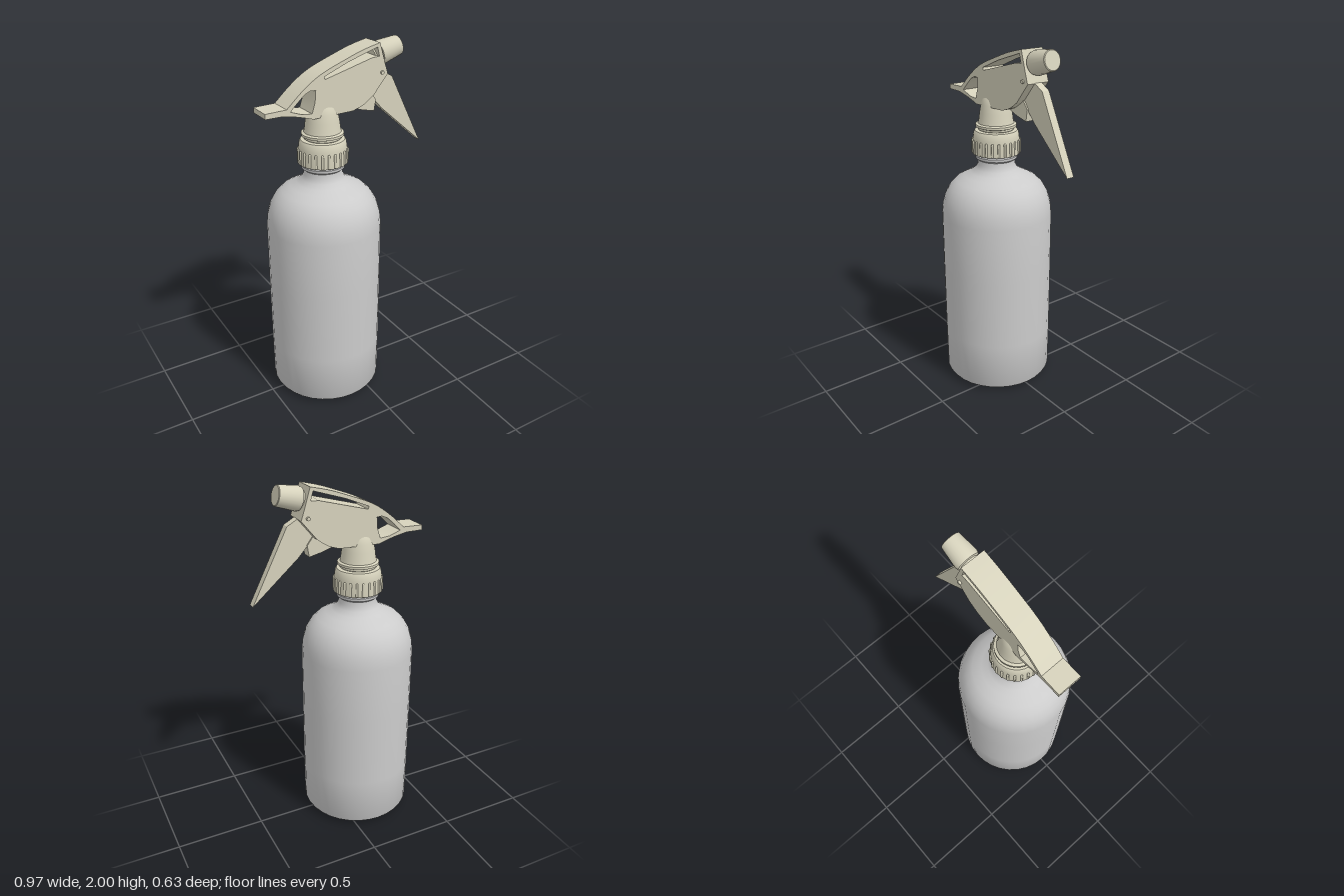
import * as THREE from 'three';
import { toCreasedNormals } from 'three/addons/utils/BufferGeometryUtils.js';

const AXIS = -0.135; // x of the bottle's centre line
const grey = new THREE.MeshStandardMaterial({ color: 0xcccccc });
const cream = new THREE.MeshStandardMaterial({ color: 0xd6d2bc });
const vecs = (pts) => pts.map(([x, y]) => new THREE.Vector2(x, y));

function add(parent, name, geometry, material = cream) {
  const mesh = new THREE.Mesh(geometry, material);
  mesh.name = name;
  parent.add(mesh);
  return mesh;
}

// Turned part around the bottle's centre line, with crisp edges kept
function turned(parent, name, pts, material, segments = 32) {
  const geo = toCreasedNormals(new THREE.LatheGeometry(vecs(pts), segments), 0.6);
  const mesh = add(parent, name, geo, material);
  mesh.position.x = AXIS;
  return mesh;
}

// Side-on outline extruded evenly about z = 0
function plate(parent, name, shape, width) {
  const geo = new THREE.ExtrudeGeometry(shape, { depth: width, bevelEnabled: false, curveSegments: 4 });
  geo.translate(0, 0, -width / 2);
  return add(parent, name, toCreasedNormals(geo, 0.5));
}

export function createModel() {
  const model = new THREE.Group();
  model.name = 'sprayBottle';

  // Bottle: rounded shoulder, narrow neck and flange
  turned(model, 'bottle', [
    [0, 0.012], [0.12, 0.006], [0.16, 0], [0.25, 0.01], [0.305, 0.022], [0.313, 0.035],
    [0.315, 0.3], [0.315, 0.7], [0.314, 1.03], [0.308, 1.09], [0.292, 1.145], [0.265, 1.193],
    [0.228, 1.23], [0.18, 1.256], [0.145, 1.274], [0.118, 1.295], [0.105, 1.32], [0.103, 1.345],
    [0.116, 1.355], [0.118, 1.37], [0.105, 1.38], [0.1, 1.42],
  ], grey);

  // Screw cap with grip ribs
  turned(model, 'cap', [
    [0.095, 1.385], [0.133, 1.383], [0.133, 1.4], [0.129, 1.47], [0.125, 1.5], [0.118, 1.512], [0.09, 1.515],
  ], cream);
  const ribs = new THREE.Group();
  ribs.name = 'capRibs';
  ribs.position.set(AXIS, 1.423, 0);
  model.add(ribs);
  const ribGeo = new THREE.CapsuleGeometry(0.007, 0.066, 3, 6);
  for (let i = 0; i < 24; i++) {
    const a = (i / 24) * Math.PI * 2;
    add(ribs, 'capRib', ribGeo).position.set(Math.cos(a) * 0.131, 0, Math.sin(a) * 0.131);
  }

  // Collar and tapering stem that merges into the head
  turned(model, 'stem', [
    [0.09, 1.51], [0.1, 1.518], [0.1, 1.528], [0.113, 1.533], [0.113, 1.546], [0.099, 1.552],
    [0.095, 1.57], [0.09, 1.61], [0.081, 1.655], [0.073, 1.685], [0.06, 1.705], [0, 1.712],
  ], cream);

  // Sprayer head: arched top, tail lip and two openings
  const head = new THREE.Shape();
  head.moveTo(-0.487, 1.687);
  head.lineTo(-0.39, 1.687);
  head.splineThru(vecs([[-0.307, 1.67], [-0.222, 1.645]]));
  head.lineTo(0.01, 1.652);
  head.splineThru(vecs([[0.075, 1.675], [0.135, 1.715]]));
  head.lineTo(0.222, 1.82);
  head.lineTo(0.205, 1.87);
  head.lineTo(0.17, 1.984);
  head.splineThru(vecs([[0.08, 1.962], [-0.016, 1.93], [-0.175, 1.867], [-0.28, 1.798], [-0.37, 1.718]]));
  head.lineTo(-0.487, 1.714);
  head.closePath();
  head.holes.push(
    new THREE.Path(vecs([[-0.35, 1.703], [-0.315, 1.738], [-0.27, 1.778], [-0.235, 1.793], [-0.207, 1.79],
      [-0.212, 1.73], [-0.23, 1.675], [-0.285, 1.68]])),
    new THREE.Path(vecs([[-0.158, 1.852], [-0.02, 1.908], [0.155, 1.963], [0.168, 1.915], [0.125, 1.913], [-0.153, 1.838]])),
  );
  plate(model, 'sprayHead', head, 0.134);

  // Trigger lever and the pump piece behind it
  plate(model, 'trigger', new THREE.Shape(vecs([
    [0.13, 1.72], [0.222, 1.62], [0.481, 1.395], [0.28, 1.79], [0.222, 1.822], [0.16, 1.8],
  ])), 0.044);
  plate(model, 'pumpPiece', new THREE.Shape(vecs([
    [0.03, 1.655], [0.09, 1.635], [0.165, 1.618], [0.175, 1.68], [0.13, 1.74], [0.06, 1.72],
  ])), 0.06);

  // Hinge pin through the head
  const pin = add(model, 'hingePin', new THREE.CylinderGeometry(0.01, 0.01, 0.155, 10));
  pin.rotation.x = Math.PI / 2;
  pin.position.set(0.185, 1.83, -0.002);

  // Nozzle, tilted slightly upward
  const nozzle = new THREE.Group();
  nozzle.name = 'nozzle';
  nozzle.position.set(0.2, 1.915, 0);
  nozzle.rotation.z = -Math.PI / 2 + 0.235;
  model.add(nozzle);
  const profile = [[0, -0.04], [0.045, -0.04], [0.045, 0], [0.06, 0.003], [0.064, 0.02], [0.053, 0.128], [0.049, 0.131], [0, 0.131]];
  add(nozzle, 'nozzleTip', toCreasedNormals(new THREE.LatheGeometry(vecs(profile), 24), 0.5));

  return model;
}
